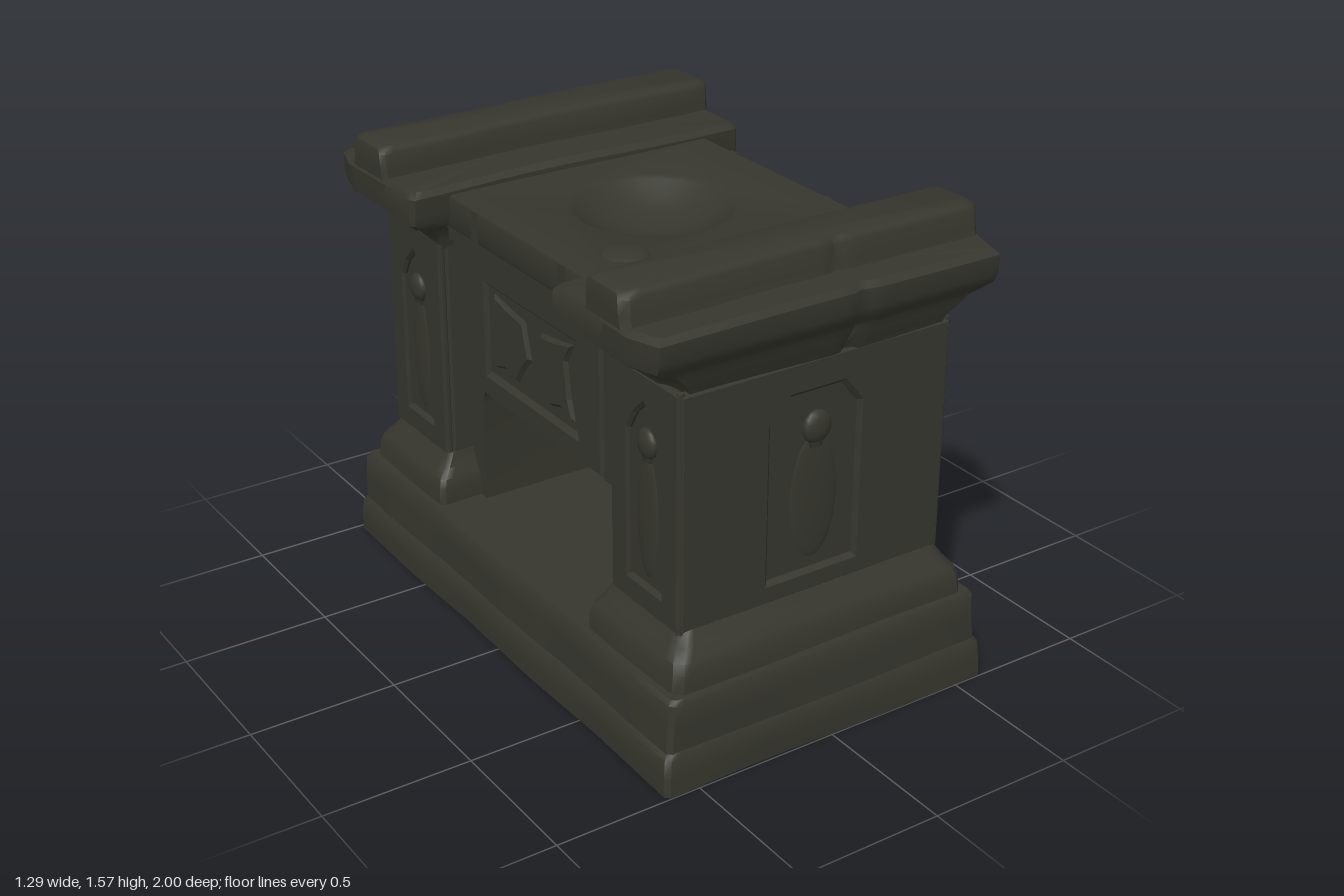
import * as THREE from 'three';
import { toCreasedNormals } from 'three/addons/utils/BufferGeometryUtils.js';

const stone = new THREE.MeshStandardMaterial({ color: 0x36362e });
stone.name = 'dark stone';

function add(parent, name, geometry, x = 0, y = 0, z = 0) {
  const mesh = new THREE.Mesh(geometry, stone);
  mesh.name = name;
  mesh.position.set(x, y, z);
  parent.add(mesh);
  return mesh;
}

// Stacked chamfered rectangles, rows of [y, half width, z inner, z outer], gently worn.
// cutX and cutZ size the corner cuts on the outer side; caps lists the closed ends.
function loft(rows, { cutX = 0.015, cutZ = 0.015, wear = 0.004, crack = null, caps = ['top'] } = {}) {
  const nx = 40, nz = 10, inner = 0.015, pos = [], index = [];
  const lerp = THREE.MathUtils.lerp;
  rows.forEach(([y, hx, z0, z1]) => {
    const ring = [];
    for (let i = 0; i <= nx; i++) ring.push([lerp(-hx + cutX, hx - cutX, i / nx), z1]);
    for (let i = 0; i <= nz; i++) ring.push([hx, lerp(z1 - cutZ, z0 + inner, i / nz)]);
    for (let i = 0; i <= nx; i++) ring.push([lerp(hx - inner, -hx + inner, i / nx), z0]);
    for (let i = 0; i <= nz; i++) ring.push([-hx, lerp(z0 + inner, z1 - cutZ, i / nz)]);
    const mid = (z0 + z1) / 2;
    ring.forEach(([x, z]) => {
      const cracked = crack !== null && z > mid;
      const groove = cracked ? Math.max(0, 1 - Math.abs(x - crack) / 0.035) * 0.016 : 0;
      pos.push(
        x + wear * Math.sin(9 * y + 8 * z) * Math.sign(x),
        y + (y > 0.32 ? wear * Math.sin(5 * x + 3 * z) : 0),
        z + Math.sign(z - mid) * (wear * Math.sin(6 * x + 11 * y) - groove));
    });
  });
  const n = 2 * (nx + nz + 2), top = (rows.length - 1) * n;
  for (let r = 0; r < rows.length - 1; r++) {
    for (let j = 0; j < n; j++) {
      const k = (j + 1) % n, a = r * n + j, b = r * n + k;
      index.push(a, b, b + n, a, b + n, a + n);
    }
  }
  for (const cap of caps) {
    const isTop = cap === 'top', centre = pos.length / 3, first = isTop ? top : 0;
    const [y, , z0, z1] = rows[isTop ? rows.length - 1 : 0];
    pos.push(0, y, (z0 + z1) / 2);
    for (let j = 0; j < n; j++) {
      const a = first + j, b = first + (j + 1) % n;
      index.push(centre, isTop ? a : b, isTop ? b : a);
    }
  }
  const g = new THREE.BufferGeometry();
  g.setAttribute('position', new THREE.Float32BufferAttribute(pos, 3));
  g.setIndex(index);
  return toCreasedNormals(g, 0.7);
}

const points = (list) => list.map(([x, y]) => new THREE.Vector2(x, y));
const rect = (x0, y0, x1, y1) => [[x0, y0], [x1, y0], [x1, y1], [x0, y1]];

// Bevelled plate lying on z = 0 and rising to z = depth, with an optional opening.
function plate(outline, depth, hole, bevel = 0.01) {
  const shape = new THREE.Shape(points(outline));
  if (hole) shape.holes.push(new THREE.Path(points(hole)));
  return new THREE.ExtrudeGeometry(shape, {
    depth: depth - bevel, bevelEnabled: true, bevelThickness: bevel,
    bevelSize: bevel, bevelOffset: -bevel, bevelSegments: 1,
  });
}

// Small carved head with a jaw in low relief, facing +z.
function carvedHead(s) {
  const head = new THREE.Group();
  head.name = 'carvedHead';
  add(head, 'cranium', new THREE.SphereGeometry(0.052 * s, 14, 10)).scale.set(1, 1.05, 0.5);
  add(head, 'jaw', new THREE.CylinderGeometry(0.036 * s, 0.022 * s, 0.04 * s, 8), 0, -0.045 * s, 0)
    .scale.z = 0.5;
  return head;
}

// Shallow draped robe below a head, fading out at its ends.
function robe(parent, y0, y1, width) {
  add(parent, 'carvedRobe', new THREE.SphereGeometry(0.5, 20, 14), 0, (y0 + y1) / 2, 0)
    .scale.set(width, y1 - y0, 0.024);
}

function createPillar() {
  const pillar = new THREE.Group();
  pillar.name = 'endPillar';
  add(pillar, 'plinth', loft([
    [0.305, 0.555, 0.46, 0.95], [0.37, 0.55, 0.465, 0.945], [0.4, 0.54, 0.475, 0.93],
    [0.43, 0.515, 0.495, 0.905], [0.475, 0.49, 0.51, 0.875]], { cutX: 0.025, cutZ: 0.025 }));
  add(pillar, 'pillarCore', loft([[0.46, 0.48, 0.51, 0.862], [1.24, 0.48, 0.51, 0.862]], { wear: 0, caps: [] }));

  // Broad end face with an arched niche
  const end = new THREE.Group();
  end.name = 'endNiche';
  end.position.z = 0.86;
  const arch = [[-0.17, 0.54], [0.15, 0.54], [0.15, 1.06], [0.09, 1.135], [-0.1, 1.135], [-0.17, 1.06]];
  add(end, 'endFace', plate(rect(-0.495, 0.46, 0.495, 1.25), 0.02, arch, 0.014));
  robe(end, 0.57, 0.99, 0.18);
  const head = carvedHead(1);
  head.position.set(0, 1.015, 0.008);
  end.add(head);
  pillar.add(end);

  // Narrow side faces with pointed niches
  const pointed = [[-0.085, 0.55], [0.085, 0.55], [0.085, 1.04], [0.05, 1.1], [0, 1.15], [-0.05, 1.1], [-0.085, 1.04]];
  for (const side of [1, -1]) {
    const face = new THREE.Group();
    face.name = side > 0 ? 'leftNiche' : 'rightNiche';
    face.position.set(side * 0.478, 0, 0.695);
    face.rotation.y = side * Math.PI / 2;
    add(face, 'sideFace', plate(rect(-0.18, 0.46, 0.18, 1.25), 0.02, pointed));
    robe(face, 0.57, 0.98, 0.11);
    const small = carvedHead(0.9);
    small.position.set(0, 1.02, 0.004);
    face.add(small);
    pillar.add(face);
  }

  // Overhanging capital and raised ridge
  add(pillar, 'capital', loft([
    [1.22, 0.49, 0.51, 0.87], [1.265, 0.505, 0.5, 0.885], [1.3, 0.54, 0.485, 0.9],
    [1.322, 0.565, 0.46, 0.905], [1.338, 0.61, 0.43, 0.915], [1.36, 0.638, 0.422, 0.932],
    [1.39, 0.64, 0.42, 0.945], [1.45, 0.64, 0.42, 0.945], [1.468, 0.625, 0.44, 0.925]],
  { cutX: 0.035, cutZ: 0.11, crack: 0.1 }));
  add(pillar, 'ridge', loft([
    [1.46, 0.64, 0.6, 0.825], [1.49, 0.64, 0.605, 0.815], [1.545, 0.64, 0.61, 0.81],
    [1.56, 0.635, 0.62, 0.8], [1.568, 0.62, 0.635, 0.785]], { cutX: 0.025, cutZ: 0.025, wear: 0.003, crack: 0.1 }));
  return pillar;
}

// Long side of the altar block, drawn facing +z and turned to +x
function createSide() {
  const side = new THREE.Group();
  side.name = 'altarSide';
  const inner = rect(-0.27, 0.86, 0.27, 1.17);
  add(side, 'sideWall', new THREE.PlaneGeometry(1.03, 0.56), 0, 1.052, 0.445);
  add(side, 'panelFrame', plate(rect(-0.42, 0.77, 0.42, 1.27), 0.025, inner, 0.014), 0, 0, 0.44);
  // Pair of spread wing carvings
  const wing = [[0.015, 1.0], [0.05, 1.12], [0.13, 1.13], [0.24, 1.15], [0.2, 1.08], [0.22, 0.96],
    [0.24, 0.89], [0.17, 0.91], [0.1, 0.89], [0.06, 0.95]];
  for (const s of [1, -1]) {
    const outline = wing.map(([x, y]) => [s * x, y]);
    add(side, 'wingCarving', plate(outline, 0.018, null, 0.012), 0, 0, 0.44);
    add(side, 'strap', new THREE.BoxGeometry(0.035, 0.18, 0.05), s * 0.26, 1.345, 0.479);
    add(side, 'edgePost', new THREE.BoxGeometry(0.05, 0.5, 0.02), s * 0.45, 1.023, 0.45);
  }
  add(side, 'lowerMoulding', new THREE.BoxGeometry(0.96, 0.05, 0.06), 0, 1.29, 0.445);
  add(side, 'upperMoulding', new THREE.BoxGeometry(0.96, 0.03, 0.08), 0, 1.325, 0.445);
  return side;
}

export function createModel() {
  const model = new THREE.Group();
  model.name = 'stoneAltar';

  // Two-step base
  add(model, 'baseStep', loft([
    [0, 0.612, -0.995, 0.995], [0.06, 0.612, -0.995, 0.995], [0.12, 0.605, -0.99, 0.99],
    [0.14, 0.59, -0.978, 0.978]], { caps: ['bottom'] }));
  add(model, 'baseBlock', loft([
    [0.13, 0.594, -0.98, 0.98], [0.22, 0.59, -0.976, 0.976], [0.295, 0.586, -0.973, 0.973],
    [0.31, 0.575, -0.962, 0.962]]));

  // Recessed walls of the opening, rounded into the ceiling
  const arch = new THREE.Shape();
  arch.moveTo(-0.515, 0.305).lineTo(-0.425, 0.305).lineTo(-0.425, 0.67);
  arch.quadraticCurveTo(-0.42, 0.765, -0.31, 0.768).lineTo(0.31, 0.768);
  arch.quadraticCurveTo(0.42, 0.765, 0.425, 0.67).lineTo(0.425, 0.305);
  arch.lineTo(0.515, 0.305).lineTo(0.515, 0.775).lineTo(-0.515, 0.775).closePath();
  const archGeometry = new THREE.ExtrudeGeometry(arch, { depth: 0.8, bevelEnabled: false, curveSegments: 8 });
  archGeometry.translate(0, 0, -0.4).rotateY(Math.PI / 2);
  add(model, 'innerArch', toCreasedNormals(archGeometry, 0.6));
  add(model, 'altarUnderside', new THREE.PlaneGeometry(0.89, 1.03).rotateX(Math.PI / 2), 0, 0.772, 0);

  // Top slab with a round basin
  const slab = new THREE.Shape(points(rect(-0.5, -0.5, 0.5, 0.5)));
  slab.holes.push(new THREE.Path().absarc(0, 0, 0.27, 0, Math.PI * 2, true));
  const slabGeometry = new THREE.ExtrudeGeometry(slab, {
    depth: 0.09, bevelEnabled: true, bevelThickness: 0.012, bevelSize: 0.012,
    bevelOffset: -0.012, bevelSegments: 2, curveSegments: 32,
  });
  slabGeometry.rotateX(-Math.PI / 2);
  add(model, 'topSlab', toCreasedNormals(slabGeometry, 0.6), 0, 1.336, 0);
  const bowl = points([[0.285, 1.439], [0.268, 1.436], [0.25, 1.427], [0.21, 1.398], [0.15, 1.366],
    [0.08, 1.347], [0, 1.342]]);
  add(model, 'basin', new THREE.LatheGeometry(bowl, 40));
  add(model, 'wornBoss', new THREE.SphereGeometry(0.08, 12, 8), -0.3, 1.435, 0.3).scale.y = 0.2;

  // Both long sides and both ends
  for (const turn of [0, Math.PI]) {
    const side = createSide();
    side.rotation.y = turn + Math.PI / 2;
    model.add(side);
    const pillar = createPillar();
    pillar.rotation.y = turn;
    model.add(pillar);
  }
  return model;
}
